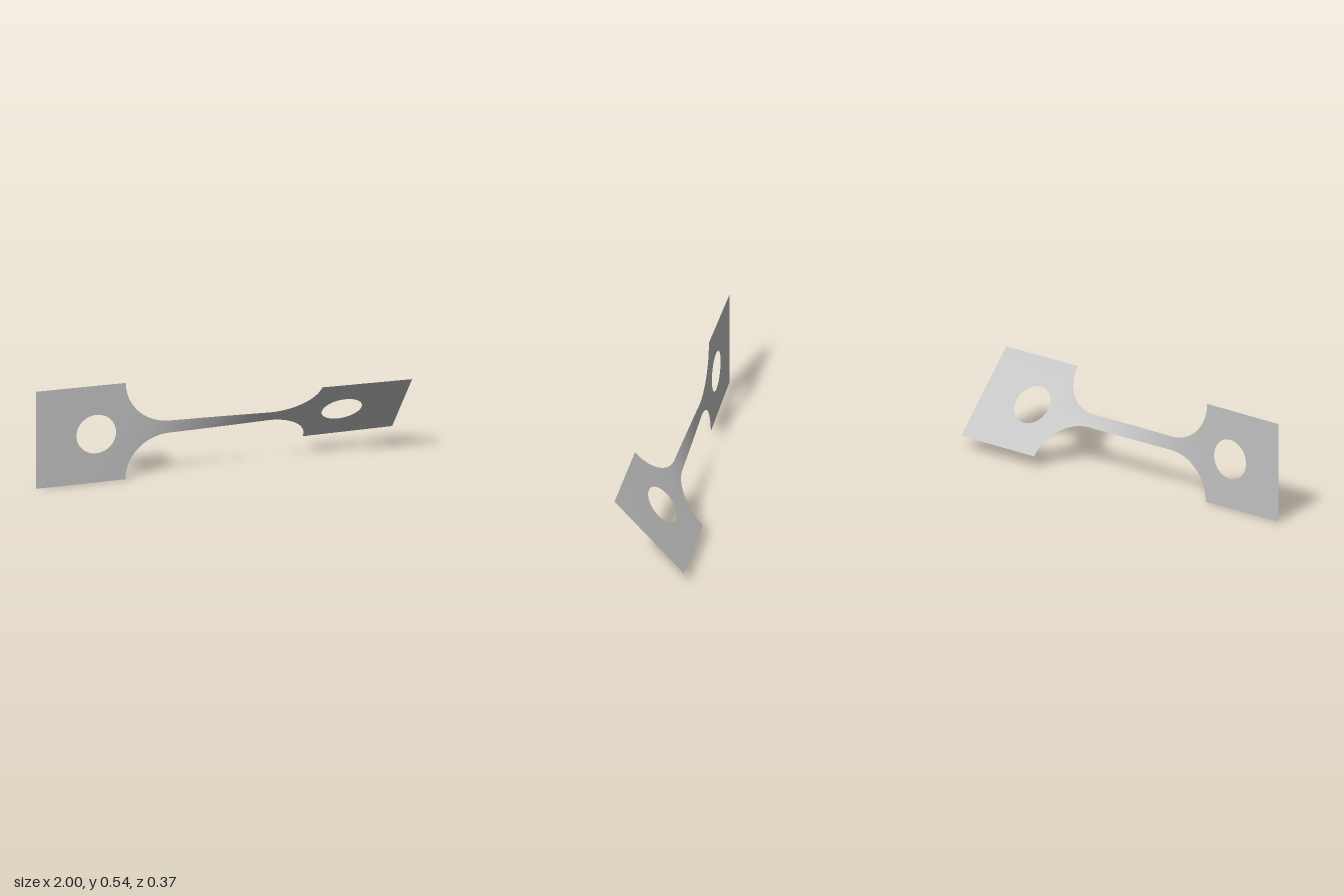
import * as THREE from 'three';

const HALF = 0.2715;            // half height of the tabs
const NECK = 0.036;             // half height of the neck
const TAB_IN = 0.51, NECK_END = 0.27;
const HOLE_X = 0.67, HOLE_R = 0.108;
const TAB_TWIST = THREE.MathUtils.degToRad(1.2);
const TWIST = THREE.MathUtils.degToRad(43.2);

// Columns along the waisted middle: x, half height w and twist angle a
function makeColumns() {
  const cols = [], n = 24;
  const fillet = (t) => ({
    x: -NECK_END - (TAB_IN - NECK_END) * Math.cos(t),
    w: HALF - (HALF - NECK) * Math.sin(t),
  });
  for (let i = 0; i <= n; i++) cols.push(fillet((i / n) * Math.PI / 2));
  for (let i = 1; i < n; i++) cols.push({ x: -NECK_END + (2 * NECK_END * i) / n, w: NECK });
  for (let i = n; i >= 0; i--) {
    const c = fillet((i / n) * Math.PI / 2);
    cols.push({ x: -c.x, w: c.w });
  }
  // the narrower the strip, the faster it twists
  let sum = 0;
  cols.forEach((c, i) => {
    if (i) sum += (c.x - cols[i - 1].x) * 2 / (c.w + cols[i - 1].w);
    c.a = sum;
  });
  cols.forEach((c) => { c.a = TAB_TWIST + (c.a / sum) * (TWIST - 2 * TAB_TWIST); });
  return cols;
}

// Turn a point of the flat strip about the long axis
function twist(x, v, a) {
  return [x, HALF + v * Math.cos(a), v * Math.sin(a)];
}

function tabAngle(x) {
  const t = TAB_TWIST * (1 - Math.abs(x)) / (1 - TAB_IN);
  return x < 0 ? t : TWIST - t;
}

// Grid surface whose vertices are placed by fn(column, row)
function sheet(name, nu, nv, fn, material) {
  const geo = new THREE.PlaneGeometry(1, 1, nu, nv);
  const pos = geo.attributes.position;
  for (let j = 0; j <= nv; j++) {
    for (let i = 0; i <= nu; i++) pos.setXYZ(j * (nu + 1) + i, ...fn(i, j));
  }
  geo.computeVertexNormals();
  const mesh = new THREE.Mesh(geo, material);
  mesh.name = name;
  return mesh;
}

// Square tab with a round hole: rings running from the outline to the hole
function makeTab(name, side, material) {
  const seg = 20, rings = 8;
  const x0 = side < 0 ? -1 : TAB_IN, x1 = side < 0 ? -TAB_IN : 1;
  const corners = [[x0, HALF], [x1, HALF], [x1, -HALF], [x0, -HALF], [x0, HALF]];
  const cx = side * HOLE_X;
  return sheet(name, seg * 4, rings, (i, j) => {
    const e = Math.min(Math.floor(i / seg), 3), t = i / seg - e;
    const px = THREE.MathUtils.lerp(corners[e][0], corners[e + 1][0], t);
    const py = THREE.MathUtils.lerp(corners[e][1], corners[e + 1][1], t);
    const d = Math.hypot(px - cx, py), k = j / rings;
    const x = THREE.MathUtils.lerp(px, cx + (px - cx) / d * HOLE_R, k);
    const y = THREE.MathUtils.lerp(py, py / d * HOLE_R, k);
    return twist(x, y, tabAngle(x));
  }, material);
}

export function createModel() {
  const steel = new THREE.MeshStandardMaterial({ color: 0xc0c0c0, side: THREE.DoubleSide });
  steel.name = 'grey metal';

  const group = new THREE.Group();
  group.name = 'twistedStrip';
  const cols = makeColumns(), rows = 20;

  group.add(makeTab('rightTab', -1, steel));
  group.add(makeTab('leftTab', 1, steel));
  group.add(sheet('twistedNeck', cols.length - 1, rows, (i, j) => {
    const c = cols[i];
    return twist(c.x, c.w * (1 - (2 * j) / rows), c.a);
  }, steel));
  return group;
}
